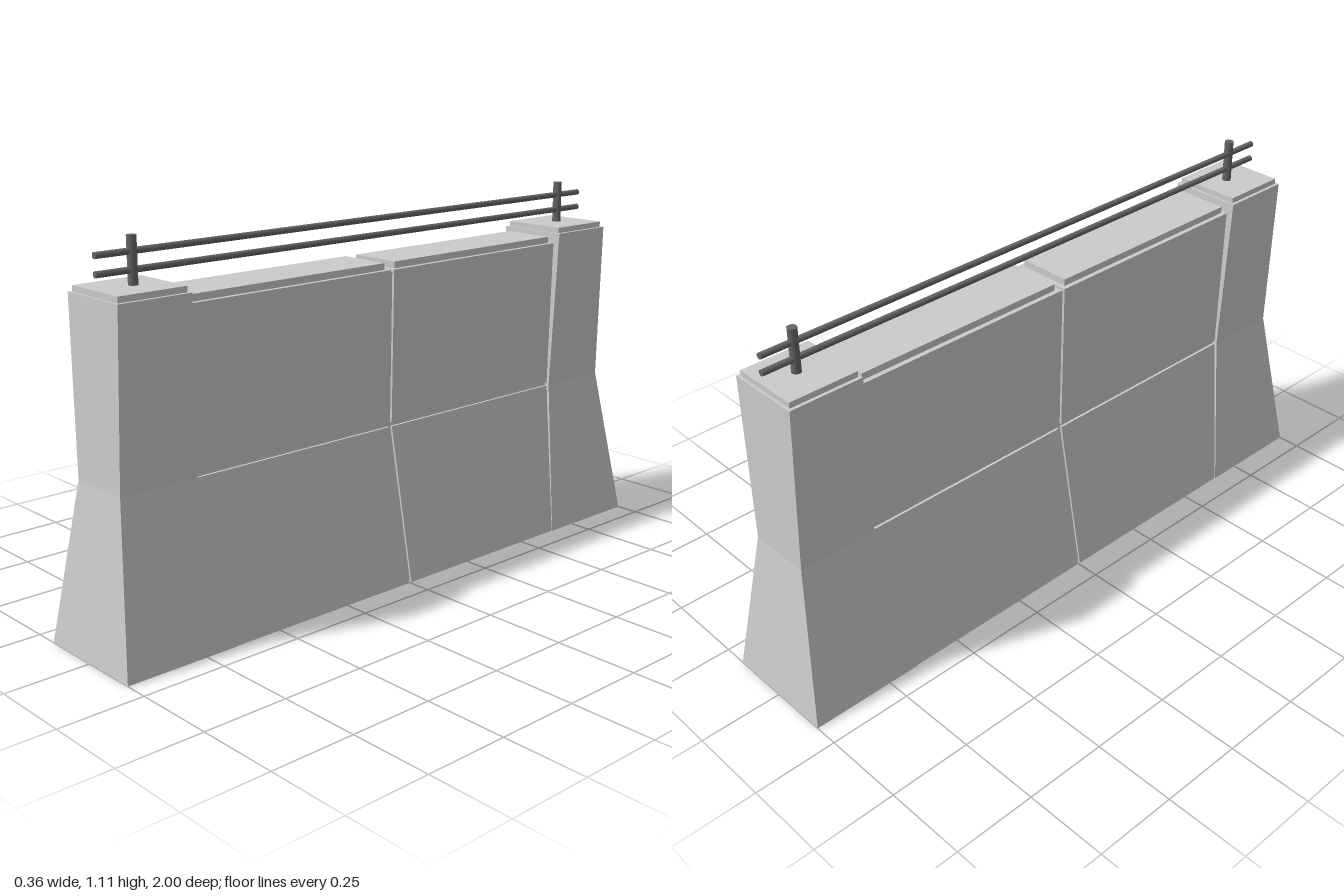
import * as THREE from 'three';

const concrete = new THREE.MeshStandardMaterial({ color: 0xcccccc, flatShading: true });
const steel = new THREE.MeshStandardMaterial({ color: 0x666669 });

// Stacks rectangular sections [y, halfWidth, zMin, zMax] into a closed solid.
function loft(name, sections) {
  const pos = [];
  const idx = [];
  for (const [y, w, z0, z1] of sections) pos.push(-w, y, z1, w, y, z1, w, y, z0, -w, y, z0);
  for (let i = 0; i < sections.length - 1; i++) {
    for (let j = 0; j < 4; j++) {
      const a = i * 4 + j, b = i * 4 + (j + 1) % 4;
      idx.push(a, b, b + 4, a, b + 4, a + 4);
    }
  }
  const t = (sections.length - 1) * 4;
  idx.push(0, 2, 1, 0, 3, 2, t, t + 1, t + 2, t, t + 2, t + 3);
  const indexed = new THREE.BufferGeometry();
  indexed.setAttribute('position', new THREE.Float32BufferAttribute(pos, 3));
  indexed.setIndex(idx);
  const geo = indexed.toNonIndexed();
  geo.computeVertexNormals();
  const mesh = new THREE.Mesh(geo, concrete);
  mesh.name = name;
  return mesh;
}

function rod(name, radius, length) {
  const mesh = new THREE.Mesh(new THREE.CylinderGeometry(radius, radius, length, 16), steel);
  mesh.name = name;
  return mesh;
}

export function createModel() {
  const group = new THREE.Group();
  group.name = 'barrier';

  // Each half is turned about y to make the front and back ends
  for (const [end, angle] of [['front', 0], ['back', Math.PI]]) {
    const half = new THREE.Group();
    half.name = end + 'Half';
    half.rotation.y = angle;
    half.add(
      // Flared end pillar with a stepped cap
      loft('endPillar', [
        [0, 0.178, 0.65, 1],
        [0.47, 0.097, 0.705, 0.945],
        [0.965, 0.113, 0.715, 0.937],
        [0.965, 0.103, 0.722, 0.93],
        [0.982, 0.103, 0.722, 0.93],
      ]),
      // Sloping lower panel
      loft('lowerPanel', [
        [0, 0.176, 0.006, 0.7],
        [0.466, 0.089, 0.006, 0.707],
      ]),
      // Upper panel with a stepped cap
      loft('upperPanel', [
        [0.476, 0.088, 0.006, 0.705],
        [0.934, 0.096, 0.006, 0.707],
        [0.934, 0.082, 0.02, 0.697],
        [0.954, 0.082, 0.02, 0.697],
      ]),
    );
    group.add(half);
  }

  // Recessed core behind the panel joints
  group.add(loft('core', [
    [0.004, 0.169, -0.74, 0.74],
    [0.47, 0.081, -0.74, 0.74],
    [0.926, 0.088, -0.74, 0.74],
  ]));

  // Handrail posts
  for (const z of [0.815, -0.833]) {
    const post = rod('railPost', 0.0135, 0.14);
    post.position.set(0, 1.04, z);
    group.add(post);
  }

  // Two horizontal rails
  for (const y of [1.021, 1.069]) {
    const rail = rod('rail', 0.009, 1.86);
    rail.rotation.x = Math.PI / 2;
    rail.position.set(0, y, -0.004);
    group.add(rail);
  }
  return group;
}
